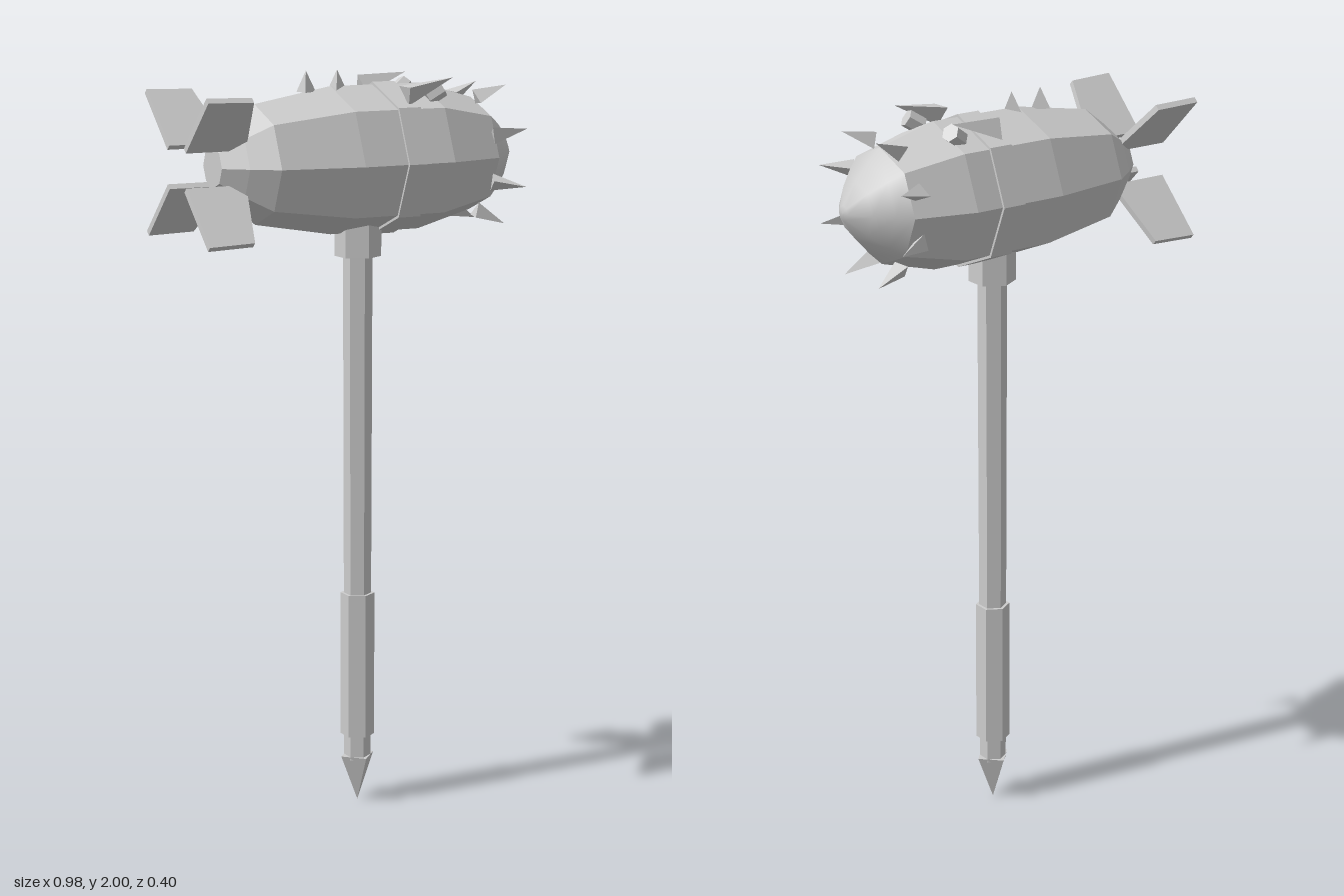
import * as THREE from 'three';

export function createModel() {
  const model = new THREE.Group();
  model.name = 'rocketHammer';
  const grey = new THREE.MeshStandardMaterial({ color: 0xcccccc });
  grey.name = 'plainGrey';
  const AXIS_Y = 1.765; // height of the head's long axis

  const flat = (geo) => {
    const g = geo.index ? geo.toNonIndexed() : geo;
    g.computeVertexNormals();
    return g;
  };
  const add = (name, geo, parent = model) => {
    const mesh = new THREE.Mesh(geo, grey);
    mesh.name = name;
    parent.add(mesh);
    return mesh;
  };

  // Cone or prism running from one point to another
  const up = new THREE.Vector3(0, 1, 0);
  const strut = (name, from, to, r0, r1, sides, twist = 0, parent = model) => {
    const a = new THREE.Vector3(...from), b = new THREE.Vector3(...to);
    const dir = b.clone().sub(a);
    const geo = new THREE.CylinderGeometry(r1, r0, dir.length(), sides);
    geo.rotateY(twist);
    const mesh = add(name, flat(geo), parent);
    mesh.position.copy(a).add(b).multiplyScalar(0.5);
    mesh.quaternion.setFromUnitVectors(up, dir.normalize());
    return mesh;
  };

  // Octagonal head, lathed about the x axis from [x, radius] pairs
  const shell = (name, profile, smooth) => {
    const geo = new THREE.LatheGeometry(profile.map(([x, r]) => new THREE.Vector2(r, x)), 8);
    const mesh = add(name, smooth ? geo : flat(geo));
    mesh.rotation.z = -Math.PI / 2;
    mesh.position.y = AXIS_Y;
  };
  shell('headBody', [[-0.39, 0], [-0.39, 0.055], [-0.335, 0.105], [-0.27, 0.155],
    [-0.05, 0.193], [0.215, 0.193], [0.375, 0.15]], false);
  shell('headNose', [[0.375, 0.15], [0.41, 0.118], [0.45, 0.075], [0.487, 0.02], [0.488, 0]], true);
  shell('headBand', [[0.075, 0.185], [0.075, 0.2], [0.14, 0.2], [0.14, 0.185]], false);

  // Four diagonal tail fins
  const finShape = new THREE.Shape([[-0.49, 0.07], [-0.37, 0.07], [-0.33, 0.105],
    [-0.363, 0.255], [-0.49, 0.26]].map(([x, y]) => new THREE.Vector2(x, y)));
  const finGeo = new THREE.ExtrudeGeometry(finShape, { depth: 0.016, bevelEnabled: false });
  finGeo.translate(0, 0, -0.008);
  for (let i = 0; i < 4; i++) {
    const fin = add('tailFin', finGeo);
    fin.position.y = AXIS_Y;
    fin.rotation.x = Math.PI / 4 + i * Math.PI / 2;
  }

  // Ring of spikes around the nose
  for (let i = 0; i < 8; i++) {
    const holder = new THREE.Group();
    holder.name = 'noseSpike';
    holder.position.y = AXIS_Y;
    holder.rotation.x = (i + 0.5) * Math.PI / 4;
    model.add(holder);
    strut('spike', [0.355, 0.162, 0], [0.438, 0.2, 0], 0.026, 0, 3, 0, holder);
  }

  // Two spikes along the top ridge
  for (const x of [-0.121, -0.03]) {
    strut('ridgeSpike', [x, 1.945, 0], [x, 2, 0], 0.029, 0, 3, Math.PI / 2);
  }

  // Eyes and brows, mirrored
  for (const s of [-1, 1]) {
    strut('eye', [0.192, 1.925, s * 0.083], [0.23, 1.95, s * 0.096], 0.024, 0.024, 6);
    strut('brow', [0.107, 1.942, s * 0.122], [0.245, 1.978, s * 0.125], 0.034, 0, 3, s * Math.PI / 2);
  }

  // Hexagonal handle with collar, grip and pointed foot
  const HX = 0.032;
  strut('collar', [HX, 1.51, 0], [HX, 1.6, 0], 0.062, 0.062, 6);
  strut('shaft', [HX, 0.12, 0], [HX, 1.52, 0], 0.036, 0.039, 6);
  strut('grip', [HX, 0.19, 0], [HX, 0.59, 0], 0.046, 0.046, 6);
  strut('footSpike', [HX, 0, 0], [HX, 0.13, 0], 0, 0.05, 4);

  return model;
}
